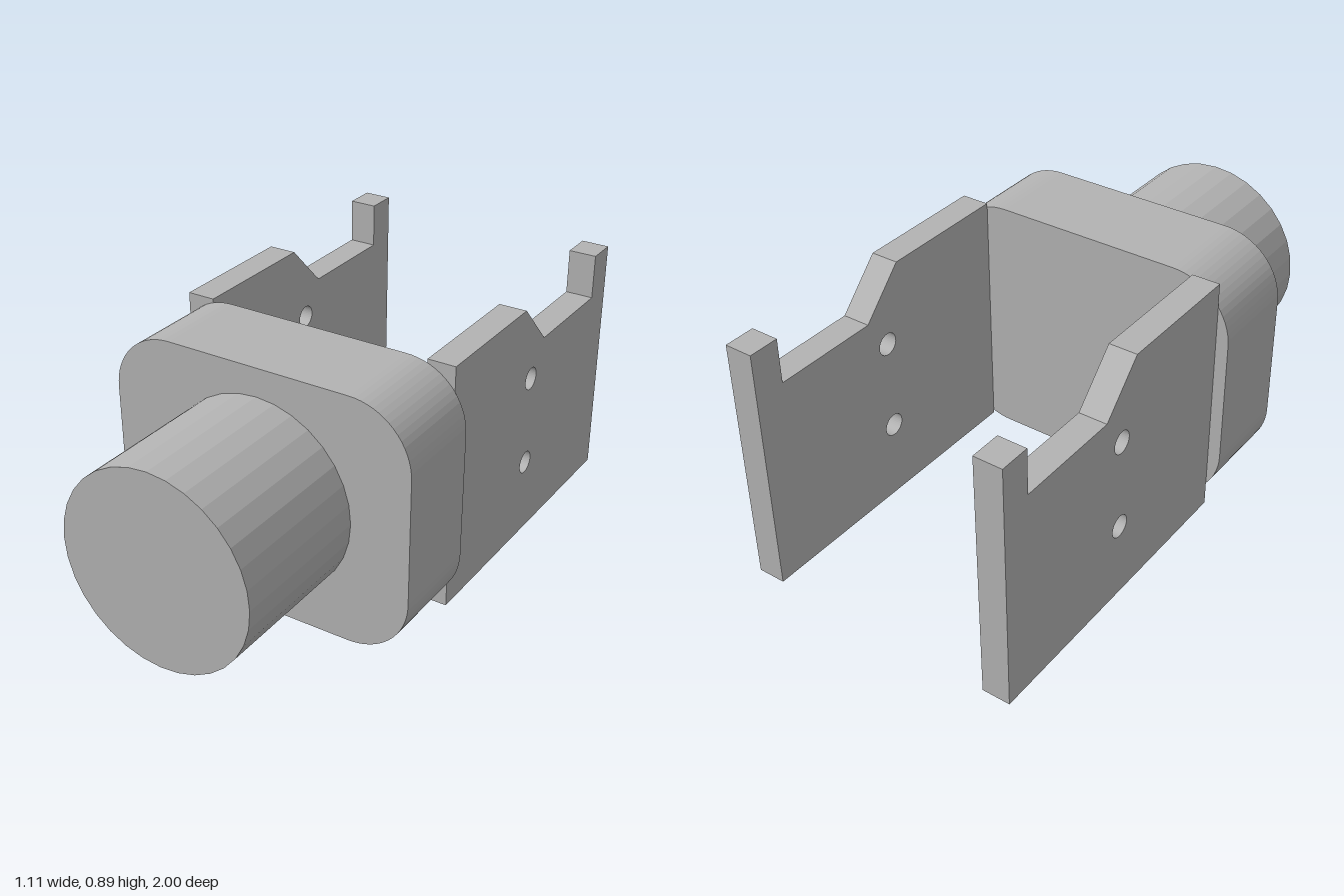
import * as THREE from 'three';

const MID_Y = 0.445;

// Rectangle with rounded corners, centred on the origin
function roundedRect(w, h, r) {
  const s = new THREE.Shape();
  const x = w / 2 - r, y = h / 2 - r;
  s.absarc(x, y, r, 0, Math.PI / 2);
  s.absarc(-x, y, r, Math.PI / 2, Math.PI);
  s.absarc(-x, -y, r, Math.PI, Math.PI * 1.5);
  s.absarc(x, -y, r, Math.PI * 1.5, Math.PI * 2);
  s.closePath();
  return s;
}

// Side plate outline: distance to the back, height
function plateShape() {
  const s = new THREE.Shape([
    [-0.135, 0], [1, 0], [1, 0.89], [0.89, 0.89], [0.89, 0.73],
    [0.5, 0.73], [0.345, 0.89], [-0.135, 0.89],
  ].map(([u, v]) => new THREE.Vector2(u, v)));
  for (const y of [0.28, 0.61]) {
    s.holes.push(new THREE.Path().absarc(0.415, y, 0.04, 0, Math.PI * 2, true));
  }
  return s;
}

export function createModel() {
  const model = new THREE.Group();
  model.name = 'clevisBracket';
  const grey = new THREE.MeshStandardMaterial({ color: 0xb3b3b3, flatShading: true });
  grey.name = 'grey';

  const add = (name, geometry) => {
    const mesh = new THREE.Mesh(geometry, grey);
    mesh.name = name;
    model.add(mesh);
    return mesh;
  };

  // Round shaft pointing forward
  add('shaft', new THREE.CylinderGeometry(0.345, 0.345, 0.53, 32).rotateX(Math.PI / 2))
    .position.set(0, MID_Y, 0.735);

  // Rounded block joining the shaft and the plates
  add('block', new THREE.ExtrudeGeometry(roundedRect(1.11, 0.89, 0.22),
    { depth: 0.335, bevelEnabled: false, curveSegments: 8 }))
    .position.set(0, MID_Y, 0.135);

  // Notched, drilled side plates
  const plate = new THREE.ExtrudeGeometry(plateShape(),
    { depth: 0.1, bevelEnabled: false, curveSegments: 20 }).rotateY(Math.PI / 2);
  add('leftPlate', plate).position.x = 0.41;
  add('rightPlate', plate).position.x = -0.51;

  return model;
}
